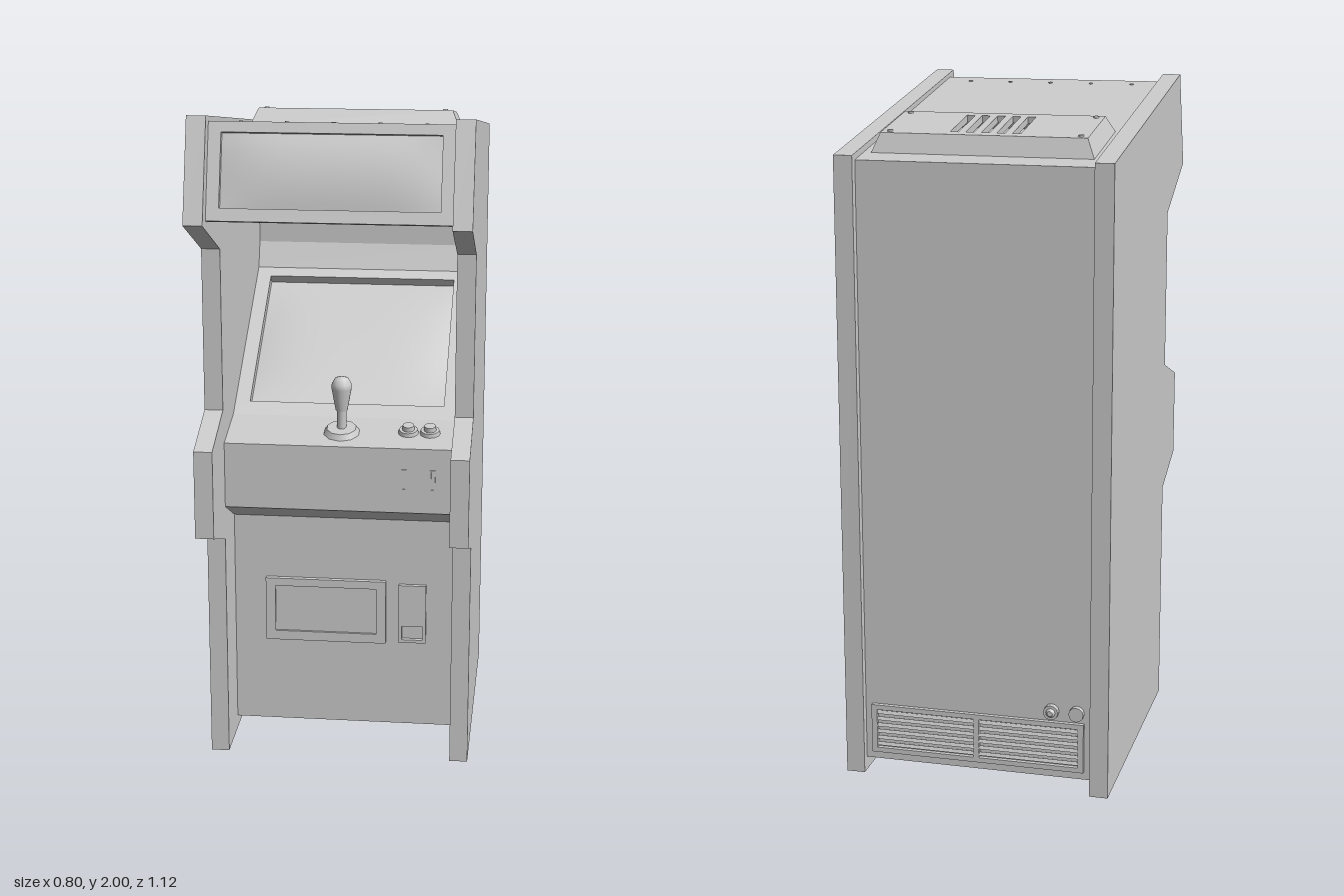
import * as THREE from 'three';

const mat = new THREE.MeshStandardMaterial({ color: 0xcccccc });
const thin = new THREE.MeshStandardMaterial({ color: 0xcccccc, side: THREE.DoubleSide });

function add(parent, name, geo, x = 0, y = 0, z = 0, material = mat) {
  const m = new THREE.Mesh(geo, material);
  m.name = name;
  m.position.set(x, y, z);
  parent.add(m);
  return m;
}

// Extrude a [z, y] profile sideways, from x0 to x1
function sideways(points, x0, x1) {
  const shape = new THREE.Shape(points.map(([z, y]) => new THREE.Vector2(z, y)));
  const g = new THREE.ExtrudeGeometry(shape, { depth: x1 - x0, bevelEnabled: false });
  return g.rotateY(-Math.PI / 2).translate(x1, 0, 0);
}

function rectPath(path, x0, y0, x1, y1) {
  path.moveTo(x0, y0);
  path.lineTo(x1, y0);
  path.lineTo(x1, y1);
  path.lineTo(x0, y1);
  path.closePath();
  return path;
}

// Flat plate facing +z with rectangular holes, each [x0, y0, x1, y1]
function plate(outer, holes, depth) {
  const shape = rectPath(new THREE.Shape(), ...outer);
  holes.forEach(h => shape.holes.push(rectPath(new THREE.Path(), ...h)));
  return new THREE.ExtrudeGeometry(shape, { depth, bevelEnabled: false });
}

// Gently bulging pane
function pane(w, h, bulge) {
  const g = new THREE.PlaneGeometry(w, h, 16, 10);
  const p = g.attributes.position;
  for (let i = 0; i < p.count; i++) {
    const u = 2 * p.getX(i) / w, v = 2 * p.getY(i) / h;
    p.setZ(i, bulge * (1 - u * u * u * u) * (1 - v * v));
  }
  g.computeVertexNormals();
  return g;
}

// Frame with a recessed pane, leaning between two [z, y] points
function framedPane(parent, name, low, high, half, inset, depth) {
  const dz = high[0] - low[0], dy = high[1] - low[1], h = Math.hypot(dz, dy);
  const g = new THREE.Group();
  g.name = name;
  g.position.set(0, (low[1] + high[1]) / 2, (low[0] + high[0]) / 2);
  g.rotation.x = Math.atan2(dz, dy);
  const w = half - inset[0], b = -h / 2 + inset[1], t = h / 2 - inset[2];
  add(g, name + 'Frame', plate([-half, -h / 2, half, h / 2], [[-w, b, w, t]], depth), 0, 0, -depth);
  add(g, name + 'Pane', pane(2 * w, t - b, depth * 0.6), 0, (b + t) / 2, -depth + 0.002);
  parent.add(g);
}

export function createModel() {
  const model = new THREE.Group();
  model.name = 'arcadeCabinet';
  const W = 0.343;

  // Side panels
  const side = [[0.285, 0], [0.285, 0.7], [0.48, 0.77], [0.48, 1.035], [0.285, 1.105], [0.285, 1.59],
    [0.56, 1.71], [0.47, 2], [-0.555, 1.845], [-0.555, 0]];
  add(model, 'leftSidePanel', sideways(side, W, 0.398));
  add(model, 'rightSidePanel', sideways(side, -0.398, -W));

  // Cabinet body, with beds for the screen and the marquee
  const body = [[0.115, 0.04], [0.115, 0.72], [0.275, 0.8], [0.275, 1], [0.1, 1.04], [0.084, 1.014],
    [-0.466, 1.354], [-0.45, 1.38], [-0.48, 1.46], [-0.48, 1.585], [0.51, 1.715], [0.491, 1.709],
    [0.411, 1.974], [0.43, 1.98], [-0.53, 1.83], [-0.53, 0.04]];
  add(model, 'cabinetBody', sideways(body, -W, W));

  framedPane(model, 'screen', [0.1, 1.04], [-0.45, 1.38], W, [0.045, 0.055, 0.04], 0.03);
  framedPane(model, 'marquee', [0.51, 1.715], [0.43, 1.98], W, [0.036, 0.036, 0.03], 0.02);

  // Control deck
  const deck = new THREE.Group();
  deck.name = 'controlDeck';
  deck.position.set(0, 1.02, 0.19);
  deck.rotation.x = Math.atan2(0.04, 0.175);
  model.add(deck);
  const stick = new THREE.Group();
  stick.name = 'joystick';
  stick.rotation.x = -deck.rotation.x;
  deck.add(stick);
  add(deck, 'joystickBase', new THREE.CylinderGeometry(0.045, 0.056, 0.018, 10), 0, 0.007, 0);
  const profile = [[0.014, 0], [0.014, 0.065], [0.018, 0.07], [0.03, 0.135], [0.03, 0.15], [0.02, 0.168], [0, 0.174]];
  add(stick, 'joystickHandle', new THREE.LatheGeometry(profile.map(p => new THREE.Vector2(...p)), 14));
  for (const x of [0.2, 0.265]) {
    add(deck, 'buttonCollar', new THREE.CylinderGeometry(0.028, 0.031, 0.012, 12), x, 0.005, -0.01);
    add(deck, 'button', new THREE.CylinderGeometry(0.017, 0.019, 0.016, 12), x, 0.017, -0.01);
  }
  for (const x of [0.195, 0.28]) {
    add(model, 'frontSlot', plate([-0.008, -0.033, 0.008, 0.033], [[-0.004, -0.028, 0.004, 0.028]], 0.004), x, 0.903, 0.275);
  }

  // Coin door and coin return
  add(model, 'coinDoorFrame', plate([-0.245, 0.315, 0.13, 0.52], [[-0.215, 0.345, 0.1, 0.495]], 0.016), 0, 0, 0.115);
  add(model, 'coinDoor', new THREE.BoxGeometry(0.315, 0.15, 0.012), -0.0575, 0.42, 0.117);
  add(model, 'coinReturnFrame', plate([0.17, 0.32, 0.255, 0.51], [[0.18, 0.33, 0.245, 0.375]], 0.014), 0, 0, 0.115);

  // Roof vent hood: sloping walls around a slotted plate
  const roof = new THREE.Group();
  roof.name = 'roofVent';
  roof.position.set(0, 1.863, -0.31);
  roof.rotation.x = -0.155;
  model.add(roof);
  const H = 0.053;
  const walls = new THREE.CylinderGeometry(1, 1, H, 4, 1, true, Math.PI / 4).toNonIndexed();
  const p = walls.attributes.position;
  for (let i = 0; i < p.count; i++) {
    const top = p.getY(i) > 0;
    p.setX(i, Math.sign(p.getX(i)) * (top ? 0.298 : 0.321));
    p.setZ(i, Math.sign(p.getZ(i)) * (top ? 0.119 : 0.146));
  }
  walls.computeVertexNormals();
  add(roof, 'hoodWalls', walls, 0, H / 2, 0, thin);
  const slots = [-2, -1, 0, 1, 2].map(i => [i * 0.045 - 0.012, -0.09, i * 0.045 + 0.012, 0.09]);
  add(roof, 'hoodTop', plate([-0.298, -0.119, 0.298, 0.119], slots, 0.02).rotateX(-Math.PI / 2), 0, H - 0.02, 0);
  for (const x of [-0.275, 0.275]) for (const z of [-0.1, 0.1]) {
    add(roof, 'hoodScrew', new THREE.CylinderGeometry(0.007, 0.009, 0.006, 10), x, H + 0.001, z);
  }
  // Row of screws behind the marquee
  for (let i = -2; i <= 2; i++) {
    add(roof, 'roofScrew', new THREE.CylinderGeometry(0.006, 0.006, 0.004, 8), i * 0.13, 0.002, 0.7);
  }

  // Rear vent: two louvred openings
  const vent = new THREE.Group();
  vent.name = 'rearVent';
  vent.position.set(0, 0, -0.543);
  model.add(vent);
  add(vent, 'ventFrame', plate([-0.322, 0.065, 0.322, 0.215],
    [[-0.305, 0.08, -0.008, 0.2], [0.008, 0.08, 0.305, 0.2]], 0.014));
  for (const x of [-0.1565, 0.1565]) for (let i = 0; i < 6; i++) {
    const slat = add(vent, 'ventSlat', new THREE.BoxGeometry(0.297, 0.011, 0.008), x, 0.09 + i * 0.02, 0.008);
    slat.rotation.x = 0.4;
  }

  // Rear knobs
  for (const [x, d] of [[-0.3, 0.016], [-0.225, 0.018]]) {
    const knob = add(model, 'rearKnob', new THREE.CylinderGeometry(0.022, 0.022, d, 12), x, 0.246, -0.53 - d / 2);
    knob.rotation.x = -Math.PI / 2;
  }
  const tip = add(model, 'rearKnobTip', new THREE.CylinderGeometry(0.008, 0.014, 0.008, 12), -0.225, 0.246, -0.552);
  tip.rotation.x = -Math.PI / 2;
  return model;
}
